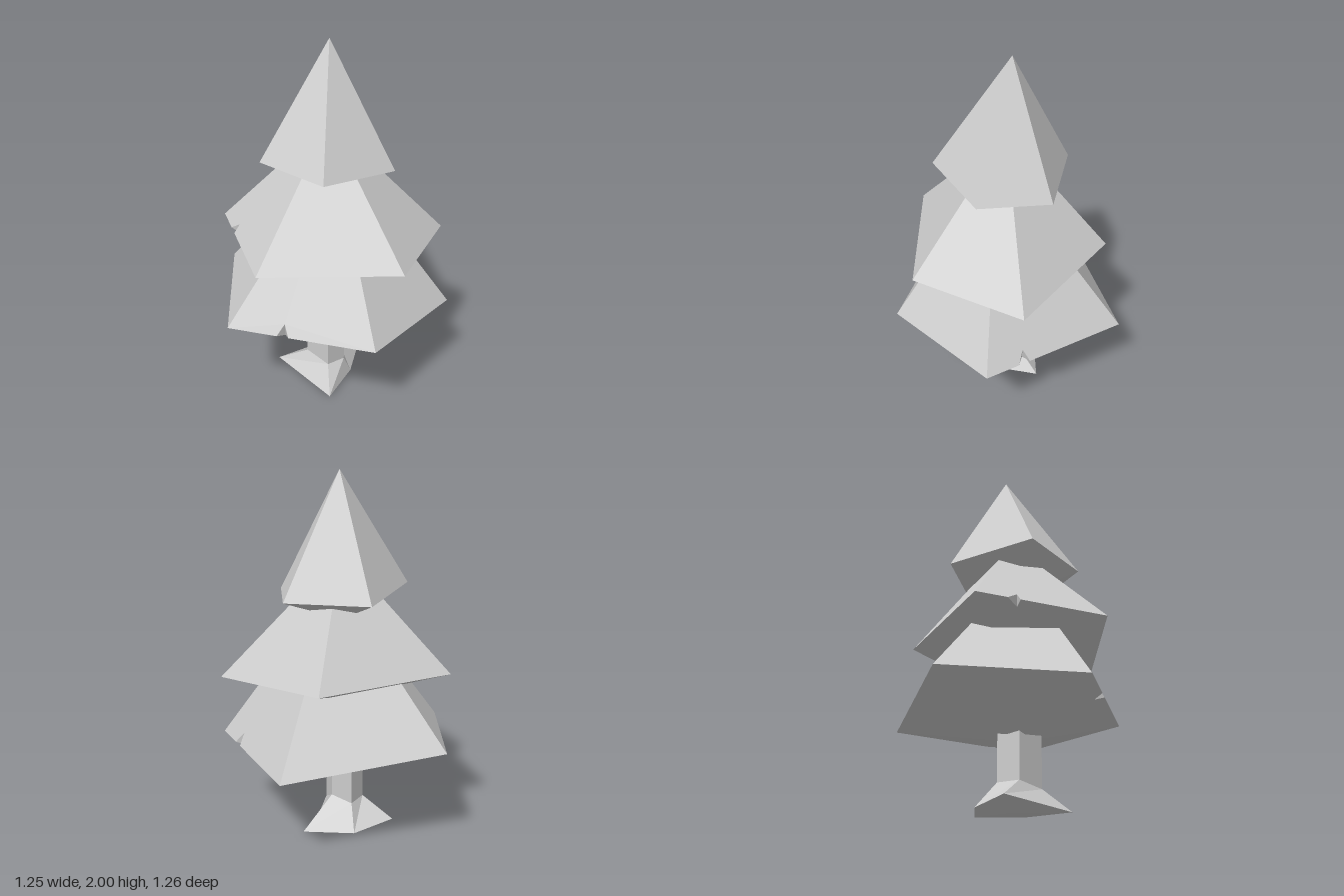
import * as THREE from 'three';

const grey = new THREE.MeshStandardMaterial({ color: 0xcccccc });
grey.name = 'pale grey';

const V = (p) => new THREE.Vector3(...p);

// Unshared triangles give every facet its own flat normal
function facetMesh(name, tris) {
  const g = new THREE.BufferGeometry().setFromPoints(tris.flat());
  g.computeVertexNormals();
  const m = new THREE.Mesh(g, grey);
  m.name = name;
  return m;
}

// Point inside the facet (tip, a, b): t along the rim, up towards the tip
const onFacet = (tip, a, b, t, up) => a.clone().lerp(b, t).lerp(tip, up);

// Closed five-sided tier: rim between a top and a bottom point.
// notches: { edge index: [start, middle, end] } along that rim edge
function tier(name, top, bottom, rim, notches) {
  const T = V(top), B = V(bottom), R = rim.map(V), tris = [];
  R.forEach((a, i) => {
    const b = R[(i + 1) % R.length], n = notches[i];
    if (!n) {
      tris.push([T, a, b], [B, b, a]);
      return;
    }
    const s = a.clone().lerp(b, n[0]), e = a.clone().lerp(b, n[2]);
    const p = onFacet(T, a, b, n[1], 0.07), q = onFacet(B, a, b, n[1], 0.1);
    tris.push([T, a, p], [a, s, p], [p, e, b], [T, p, b]);
    tris.push([B, q, a], [a, q, s], [q, b, e], [B, b, q]);
    tris.push([s, q, p], [e, p, q]); // walls of the cut
  });
  return facetMesh(name, tris);
}

// Trunk: five-sided column flaring into uneven root toes
function trunk() {
  const toes = [[-0.2, 0.03, 0.18], [0.255, 0.005, 0.145], [0.14, 0.005, -0.105],
    [-0.03, 0.02, -0.315], [-0.19, 0.01, -0.08]].map(V);
  const neck = [[-0.035, 0.14, 0.085], [0.13, 0.12, 0.06], [0.13, 0.11, -0.06],
    [0, 0.18, -0.105], [-0.09, 0.14, -0.03]].map(V);
  const head = neck.map((p) => new THREE.Vector3(p.x, 0.42, p.z));
  const under = V([0, 0, -0.02]), tris = [];
  for (let i = 0; i < 5; i++) {
    const j = (i + 1) % 5;
    for (const [lo, hi] of [[toes, neck], [neck, head]]) {
      tris.push([lo[i], lo[j], hi[j]], [lo[i], hi[j], hi[i]]);
    }
    tris.push([under, toes[j], toes[i]]);
  }
  return facetMesh('trunk', tris);
}

export function createModel() {
  const tree = new THREE.Group();
  tree.name = 'pineTree';
  tree.add(
    trunk(),
    tier('lowerBranches', [0.06, 1.4, -0.04], [0.01, 0.36, 0],
      [[-0.02, 0.54, 0.63], [0.625, 0.53, 0.14], [0.48, 0.51, -0.535],
        [-0.35, 0.505, -0.635], [-0.63, 0.575, 0.2]],
      { 0: [0.34, 0.37, 0.42], 2: [0.23, 0.27, 0.31] }),
    tier('middleBranches', [0, 1.57, -0.04], [0.01, 0.75, -0.02],
      [[0.17, 0.92, 0.56], [0.61, 0.91, -0.055], [0.31, 0.895, -0.62],
        [-0.39, 0.93, -0.43], [-0.49, 0.95, 0.33]],
      { 4: [0.24, 0.31, 0.335] }),
    tier('upperBranches', [-0.02, 2, -0.06], [-0.02, 1.21, -0.05],
      [[-0.12, 1.39, 0.32], [0.29, 1.37, 0.22], [0.32, 1.345, -0.23],
        [-0.02, 1.335, -0.41], [-0.37, 1.34, -0.1]], {}),
  );
  return tree;
}
